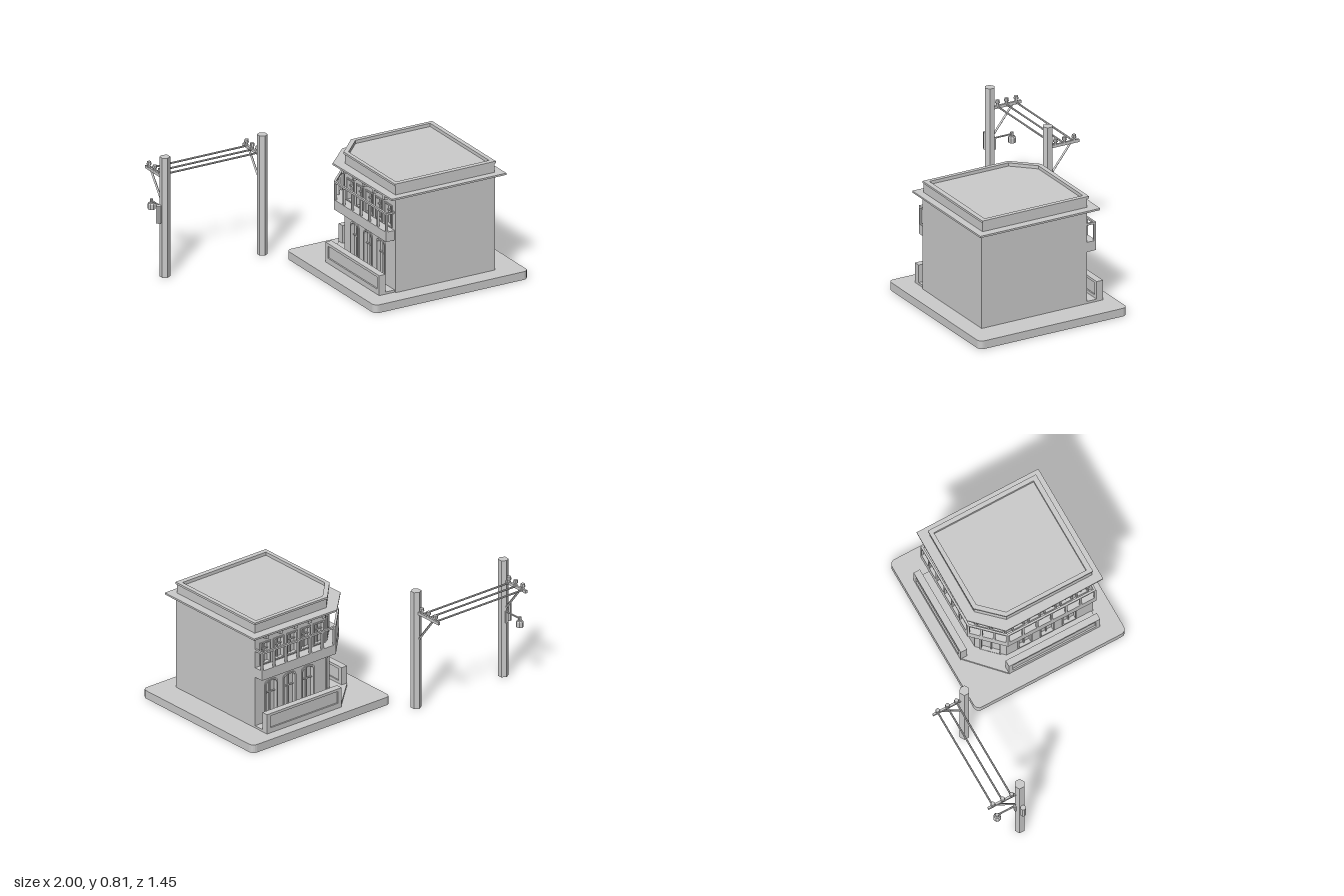
import * as THREE from 'three';

const grey = new THREE.MeshStandardMaterial({ color: 0xcccccc, flatShading: true });
const thin = new THREE.MeshStandardMaterial({ color: 0xcccccc, flatShading: true, side: THREE.DoubleSide });

function add(parent, name, geo, mat = grey) {
  const m = new THREE.Mesh(geo, mat);
  m.name = name;
  parent.add(m);
  return m;
}
function box(parent, name, x0, x1, y0, y1, z0, z1) {
  const m = add(parent, name, new THREE.BoxGeometry(x1 - x0, y1 - y0, z1 - z0));
  m.position.set((x0 + x1) / 2, (y0 + y1) / 2, (z0 + z1) / 2);
  return m;
}
// Straight round bar between two points
function bar(parent, name, a, b, r, sides = 6) {
  const A = new THREE.Vector3(...a), B = new THREE.Vector3(...b), d = B.clone().sub(A);
  const m = add(parent, name, new THREE.CylinderGeometry(r, r, d.length(), sides));
  m.position.copy(A).add(B).multiplyScalar(0.5);
  m.quaternion.setFromUnitVectors(new THREE.Vector3(0, 1, 0), d.normalize());
  return m;
}
const planPoints = pts => pts.map(([x, z]) => new THREE.Vector2(x, -z));
function planShape(pts, hole) {
  const s = new THREE.Shape(planPoints(pts));
  if (hole) s.holes.push(new THREE.Path(planPoints(hole)));
  return s;
}
// Horizontal slab from a floor plan of [x, z] corners
function slab(parent, name, pts, y0, y1, hole) {
  const g = new THREE.ExtrudeGeometry(planShape(pts, hole), { depth: y1 - y0, bevelEnabled: false });
  return add(parent, name, g.rotateX(-Math.PI / 2).translate(0, y0, 0));
}
// Opening outline, with a low arched head if wanted
function opening(Type, x, y, w, h, arch, grow = 0) {
  const p = new Type(), l = x - w / 2 - grow, r = x + w / 2 + grow, b = y - grow, t = y + h + grow;
  const rise = arch ? w * 0.3 : 0;
  p.moveTo(l, b).lineTo(r, b).lineTo(r, t - rise);
  if (arch) p.quadraticCurveTo(r, t, x, t).quadraticCurveTo(l, t, l, t - rise);
  else p.lineTo(l, t);
  p.closePath();
  return p;
}
// Group whose local x runs from A to B and whose local z faces outward
function along(parent, name, A, B) {
  const g = new THREE.Group();
  g.name = name;
  g.position.set(A[0], 0, A[1]);
  g.rotation.y = Math.atan2(A[1] - B[1], B[0] - A[0]);
  parent.add(g);
  return { g, len: Math.hypot(B[0] - A[0], B[1] - A[1]) };
}
// Wall with real openings, recessed panes, mullions and raised frames
function wall(parent, name, A, B, windows) {
  const { g, len } = along(parent, name, A, B), T = 0.022;
  const s = new THREE.Shape([[0, 0.055], [len, 0.055], [len, 0.71], [0, 0.71]].map(p => new THREE.Vector2(...p)));
  for (const w of windows) s.holes.push(opening(THREE.Path, ...w));
  add(g, 'wallPanel', new THREE.ExtrudeGeometry(s, { depth: T, bevelEnabled: false, curveSegments: 4 }).translate(0, 0, -T));
  for (const w of windows) {
    const [x, y, ww, h] = w;
    const pane = add(g, 'pane', new THREE.ShapeGeometry(opening(THREE.Shape, ...w), 4), thin);
    pane.position.z = -0.02;
    box(g, 'mullion', x - 0.004, x + 0.004, y, y + h - 0.004, -0.02, -0.01);
    box(g, 'transom', x - ww / 2, x + ww / 2, y + h * 0.64, y + h * 0.64 + 0.007, -0.02, -0.01);
    const f = opening(THREE.Shape, ...w, 0.009);
    f.holes.push(opening(THREE.Path, ...w));
    add(g, 'windowFrame', new THREE.ExtrudeGeometry(f, { depth: 0.007, bevelEnabled: false, curveSegments: 4 }));
  }
}
// Low boundary wall with sunken panels
function fence(parent, A, B) {
  const { g, len } = along(parent, 'lowWall', A, B);
  box(g, 'panel', 0, len, 0.055, 0.18, -0.036, -0.01);
  box(g, 'cap', 0, len, 0.172, 0.19, -0.045, 0);
  box(g, 'plinth', 0, len, 0.055, 0.09, -0.045, 0);
  for (const x of [0, len - 0.03]) box(g, 'endPost', x, x + 0.03, 0.055, 0.19, -0.045, 0);
}

function buildBase(model) {
  const base = new THREE.Group();
  base.name = 'base';
  model.add(base);
  const r = 0.035, pts = [];
  for (const [cx, cz, a0] of [[1 - r, 0.72 - r, 0], [-0.13 + r, 0.72 - r, 1], [-0.13 + r, -0.36 + r, 2], [1 - r, -0.36 + r, 3]])
    for (let i = 0; i <= 4; i++) {
      const a = (a0 + i / 4) * Math.PI / 2;
      pts.push([cx + r * Math.cos(a), cz + r * Math.sin(a)]);
    }
  // Hollow plinth: rim and top only
  const hole = [[0.11, 0.58], [0.8, 0.58], [0.8, -0.145], [0.25, -0.145], [0.11, -0.01]];
  add(base, 'baseTop', new THREE.ShapeGeometry(planShape(pts, hole)).rotateX(-Math.PI / 2).translate(0, 0.055, 0), thin);
  const pos = [], idx = [];
  pts.forEach(([x, z], i) => {
    const j = (i + 1) % pts.length;
    pos.push(x, 0, z, x, 0.055, z);
    idx.push(2 * i, 2 * i + 1, 2 * j, 2 * j, 2 * i + 1, 2 * j + 1);
  });
  const rim = new THREE.BufferGeometry();
  rim.setAttribute('position', new THREE.Float32BufferAttribute(pos, 3));
  rim.setIndex(idx);
  rim.computeVertexNormals();
  add(base, 'baseRim', rim, thin);
  slab(base, 'terrace', [[-0.015, 0.59], [-0.015, -0.07], [0.21, -0.28], [0.82, -0.28], [0.82, -0.15], [0.25, -0.15], [0.105, -0.01], [0.105, 0.59]], 0.054, 0.07);
  fence(base, [0.82, -0.285], [0.21, -0.285]);
  fence(base, [-0.02, -0.065], [-0.02, 0.59]);
}

function buildHouse(model) {
  const house = new THREE.Group();
  house.name = 'building';
  model.add(house);
  const P = [[0.82, -0.168], [0.24, -0.168], [0.093, -0.02], [0.093, 0.602], [0.823, 0.602]];
  const lower = xs => xs.map(x => [x, 0.1, 0.085, 0.25, true]);
  const upper = xs => xs.map(x => [x, 0.49, 0.07, 0.135, false]);
  wall(house, 'backWall', P[0], P[1], [...lower([0.13, 0.28, 0.43]), ...upper([0.08, 0.19, 0.3, 0.41, 0.52])]);
  wall(house, 'cornerWall', P[1], P[2], [[0.104, 0.075, 0.12, 0.275, true], ...upper([0.055, 0.153])]);
  wall(house, 'sideWall', P[2], P[3], [...lower([0.13, 0.29, 0.45]), ...upper([0.08, 0.195, 0.31, 0.425, 0.54])]);
  wall(house, 'frontWall', P[3], P[4], []);
  wall(house, 'plainSideWall', P[4], P[0], []);

  // Balcony deck, posts and rail wrapping three walls
  const outer = [[0.82, -0.235], [0.215, -0.235], [0.03, -0.045], [0.03, 0.59]];
  const inner = [[0.105, 0.59], [0.105, -0.015], [0.245, -0.155], [0.82, -0.155]];
  slab(house, 'balconyDeck', [...outer, ...inner], 0.408, 0.474);
  [6, 3, 6].forEach((n, k) => {
    const { g, len } = along(house, 'railing', outer[k], outer[k + 1]);
    box(g, 'topRail', 0, len, 0.588, 0.601, -0.014, 0);
    for (let i = 0; i <= n; i++) {
      const x = (len - 0.014) * i / n;
      box(g, 'railPost', x, x + 0.014, 0.47, 0.592, -0.014, 0);
    }
  });
  box(house, 'endRail', 0.806, 0.82, 0.588, 0.601, -0.235, -0.165);
  box(house, 'endRail', 0.03, 0.095, 0.588, 0.601, 0.576, 0.59);

  // Eave with rafters beneath
  slab(house, 'eave', [[0.03, -0.06], [0.21, -0.24], [0.88, -0.23], [0.88, 0.645], [0.04, 0.645]], 0.704, 0.716);
  [5, 2, 5].forEach((n, k) => {
    const { g, len } = along(house, 'rafters', P[k], P[k + 1]);
    for (let i = 0; i < n; i++) {
      const x = len * (i + 0.5) / n;
      box(g, 'rafter', x - 0.012, x + 0.012, 0.678, 0.706, -0.01, 0.052);
    }
  });

  // Flat roof with raised parapet
  const wallLine = [[0.096, 0.595], [0.823, 0.595], [0.823, -0.168], [0.24, -0.172], [0.096, -0.02]];
  const rim = [[0.09, 0.6], [0.83, 0.6], [0.83, -0.177], [0.237, -0.18], [0.09, -0.025]];
  const inside = [[0.117, 0.566], [0.8, 0.566], [0.8, -0.15], [0.252, -0.15], [0.117, -0.01]];
  slab(house, 'parapet', wallLine, 0.714, 0.78, inside);
  slab(house, 'parapetCap', rim, 0.778, 0.792, inside);
  slab(house, 'roofDeck', inside, 0.755, 0.77);
}

function buildPoles(model) {
  const zs = [-0.555, -0.62, -0.69], xs = [-0.937, -0.222];
  const bell = [[0, 0], [0.013, 0], [0.008, 0.016], [0.016, 0.019], [0.013, 0.038], [0, 0.04]].map(p => new THREE.Vector2(...p));
  for (const x of xs) {
    const pole = new THREE.Group();
    pole.name = 'utilityPole';
    model.add(pole);
    bar(pole, 'shaft', [x, 0, -0.498], [x, 0.812, -0.498], 0.034);
    box(pole, 'crossArm', x - 0.007, x + 0.007, 0.655, 0.675, -0.725, -0.51);
    bar(pole, 'brace', [x, 0.478, -0.522], [x, 0.66, -0.665], 0.008, 4);
    for (const z of zs) add(pole, 'insulator', new THREE.LatheGeometry(bell, 8)).position.set(x, 0.673, z);
  }
  for (const z of zs) bar(model, 'wire', [xs[0], 0.666, z], [xs[1], 0.666, z], 0.006);

  // Transformer and street lamp on the outer pole
  const x = xs[0];
  bar(model, 'transformer', [-0.983, 0.372, -0.498], [-0.983, 0.488, -0.498], 0.018, 8);
  box(model, 'lampPlate', x - 0.01, x + 0.01, 0.38, 0.462, -0.537, -0.522);
  bar(model, 'lampArm', [x, 0.456, -0.53], [x, 0.456, -0.665], 0.006);
  const lamp = [[0, 0], [0.025, 0], [0.025, 0.034], [0.019, 0.042], [0.011, 0.044], [0.011, 0.068], [0, 0.068]];
  add(model, 'lamp', new THREE.LatheGeometry(lamp.map(p => new THREE.Vector2(...p)), 8)).position.set(x, 0.4, -0.66);
}

export function createModel() {
  const model = new THREE.Group();
  model.name = 'cornerBuildingWithPoles';
  buildBase(model);
  buildHouse(model);
  buildPoles(model);
  return model;
}
